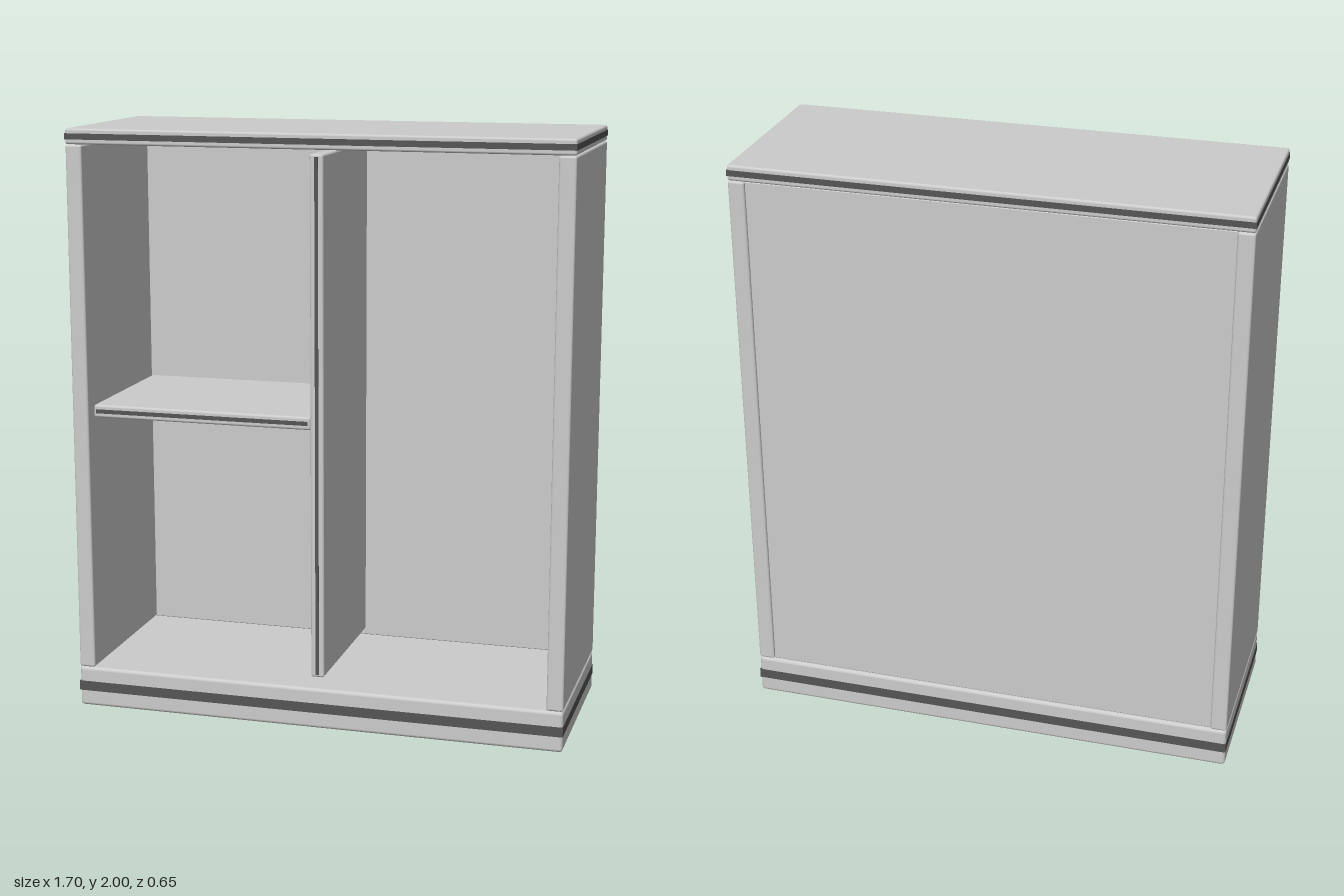
import * as THREE from 'three';
import { RoundedBoxGeometry } from 'three/addons/geometries/RoundedBoxGeometry.js';

const grey = new THREE.MeshStandardMaterial({ color: 0xcccccc });
const dark = new THREE.MeshStandardMaterial({ color: 0x555555 });

export function createModel() {
  const cabinet = new THREE.Group();
  cabinet.name = 'cabinet';

  // Panel given by its [min, max] extent on each axis, with softened edges
  function panel(name, [x0, x1], [y0, y1], [z0, z1], radius = 0.008) {
    const w = x1 - x0, h = y1 - y0, d = z1 - z0;
    const mesh = new THREE.Mesh(new RoundedBoxGeometry(w, h, d, 3, radius), grey);
    mesh.name = name;
    mesh.position.set((x0 + x1) / 2, (y0 + y1) / 2, (z0 + z1) / 2);
    cabinet.add(mesh);
  }

  // Dark inlay strip, just proud of the panel it runs along
  function strip(name, w, h, d, x, y, z) {
    const mesh = new THREE.Mesh(new THREE.BoxGeometry(w, h, d), dark);
    mesh.name = name;
    mesh.position.set(x, y, z);
    cabinet.add(mesh);
  }

  const X = 0.848, Z = 0.325;
  const backFace = -0.28; // inner face of the back
  const innerFront = 0.272; // front edge of shelf and divider

  // Base and top slabs with an inlay running all the way round
  panel('base', [-X, X], [0, 0.14], [-Z, Z], 0.012);
  strip('baseInlay', 2 * X + 0.002, 0.034, 2 * Z + 0.002, 0, 0.072, 0);
  panel('top', [-X, X], [1.948, 2], [-Z, Z]);
  strip('topInlay', 2 * X + 0.002, 0.02, 2 * Z + 0.002, 0, 1.974, 0);

  // Side panels
  panel('leftSide', [0.792, X], [0.141, 1.947], [-Z, Z]);
  panel('rightSide', [-X, -0.792], [0.141, 1.947], [-Z, Z]);

  // Back, slightly recessed between the sides
  panel('back', [-0.793, 0.793], [0.141, 1.947], [-0.316, backFace], 0.004);

  // Upright divider, with a fine inlay on its front edge
  panel('divider', [-0.025, 0.021], [0.162, 1.93], [backFace - 0.01, innerFront]);
  strip('dividerInlay', 0.012, 1.75, 0.004, -0.002, 1.046, innerFront - 0.001);

  // Shelf in the right-hand bay
  panel('shelf', [-0.793, -0.024], [1.02, 1.064], [backFace - 0.01, innerFront]);
  strip('shelfInlay', 0.75, 0.014, 0.004, -0.4085, 1.042, innerFront - 0.001);

  return cabinet;
}
